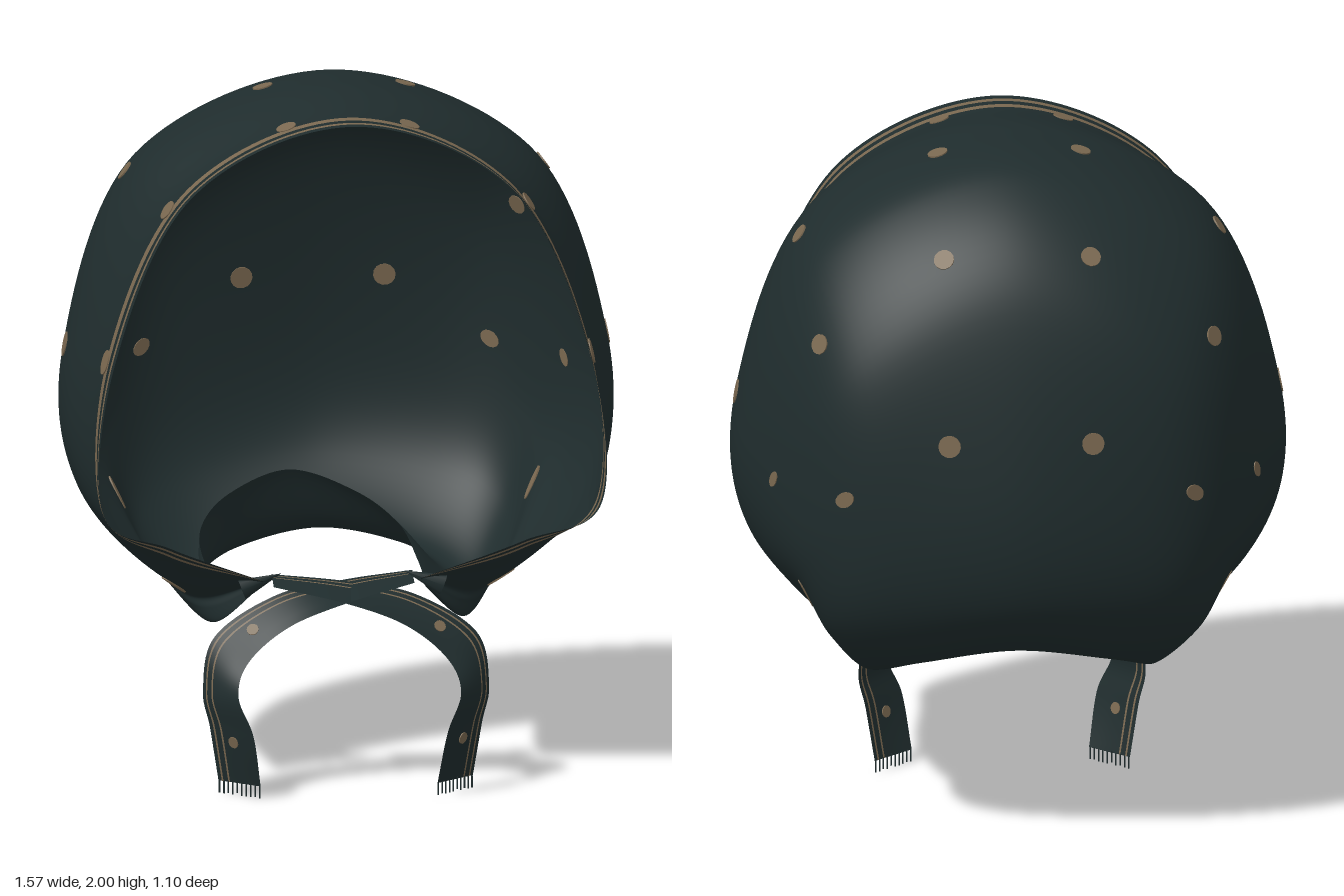
import * as THREE from 'three';

const cloth = new THREE.MeshStandardMaterial({ color: 0x1f2c2d, side: THREE.DoubleSide });
cloth.name = 'darkGreenCloth';
const trim = new THREE.MeshStandardMaterial({ color: 0x7a6850, side: THREE.DoubleSide });
trim.name = 'tanTrim';

const V = (p) => new THREE.Vector3(...p);
const spline = (pts) => new THREE.CatmullRomCurve3(pts, false, 'catmullrom', 0.5);

// Half hoops from the centre line to the tie corner, sweeping from face rim to tucked nape
const CORNER = [0.22, 0.59, 0.29];
const HOOPS = [
  [[0, 1.96, 0.54], [0.45, 1.77, 0.54], [0.67, 1.3, 0.54], [0.708, 0.86, 0.545], [0.5, 0.72, 0.41]],
  [[0, 1.965, 0.41], [0.46, 1.77, 0.41], [0.685, 1.3, 0.41], [0.705, 0.85, 0.43], [0.5, 0.68, 0.355]],
  [[0, 2.0, 0.15], [0.55, 1.785, 0.14], [0.762, 1.26, 0.16], [0.735, 0.86, 0.24], [0.51, 0.63, 0.26]],
  [[0, 1.955, -0.15], [0.54, 1.72, -0.16], [0.755, 1.2, -0.04], [0.73, 0.84, 0.08], [0.49, 0.585, 0.19]],
  [[0, 1.69, -0.41], [0.46, 1.47, -0.405], [0.665, 1.12, -0.25], [0.68, 0.82, -0.08], [0.46, 0.55, 0.13]],
  [[0, 1.15, -0.54], [0.38, 1.05, -0.485], [0.57, 0.92, -0.36], [0.6, 0.76, -0.18], [0.43, 0.52, 0.09]],
  [[0, 0.8, -0.51], [0.35, 0.75, -0.44], [0.5, 0.68, -0.32], [0.51, 0.59, -0.13], [0.39, 0.485, 0.13]],
  [[0, 0.605, -0.31], [0.25, 0.56, -0.27], [0.37, 0.5, -0.16], [0.38, 0.455, 0], [0.34, 0.455, 0.18]],
  [[0, 0.8, -0.2], [0.18, 0.74, -0.17], [0.28, 0.66, -0.1], [0.3, 0.58, 0], [0.28, 0.54, 0.18]],
];

// Grid of points to a smooth surface; isTrim(row, col) picks the material of each cell
function gridGeometry(grid, isTrim) {
  const cols = grid[0].length;
  const faces = [[], []];
  for (let r = 0; r < grid.length - 1; r++) {
    for (let c = 0; c < cols - 1; c++) {
      const a = r * cols + c, b = a + 1, d = a + cols, e = d + 1;
      faces[isTrim(r, c) ? 1 : 0].push(a, b, d, b, e, d);
    }
  }
  const g = new THREE.BufferGeometry().setFromPoints(grid.flat());
  g.setIndex([...faces[0], ...faces[1]]);
  g.addGroup(0, faces[0].length, 0);
  g.addGroup(faces[0].length, faces[1].length, 1);
  g.computeVertexNormals();
  return g;
}

function shellGeometry() {
  const hoops = HOOPS.map((half) => {
    const right = [...half, CORNER];
    const left = right.slice(1).reverse().map(([x, y, z]) => [-x, y, z]);
    return spline([...left, ...right].map(V)).getPoints(160);
  });
  // The tucked nape edge leans to one side
  hoops.at(-1).forEach((p, i) => { p.x -= 0.1 * Math.sin((Math.PI * i) / 160); });
  const ribs = hoops[0].map((_, i) => spline(hoops.map((h) => h[i])));
  // Row positions, with two trim bands close to the rim
  const rows = [0, 0.12, 0.23, 0.42, 0.53, 0.65, 0.85, 1];
  for (let i = 1; i <= 84; i++) rows.push(1 + i / 12);
  const grid = rows.map((v) => ribs.map((rib) => rib.getPoint(v / (HOOPS.length - 1))));
  return gridGeometry(grid, (r) => r === 2 || r === 5);
}

// Thin spot through the cloth, visible on both sides: the target is dropped onto
// the tangent plane of the nearest vertex
function spot(geometry, target, radius, stretch = 1) {
  const pos = geometry.attributes.position;
  const p = new THREE.Vector3();
  let best = 0, bestD = Infinity;
  for (let i = 0; i < pos.count; i++) {
    const d = p.fromBufferAttribute(pos, i).distanceToSquared(target);
    if (d < bestD) { bestD = d; best = i; }
  }
  p.fromBufferAttribute(pos, best);
  const n = new THREE.Vector3().fromBufferAttribute(geometry.attributes.normal, best).normalize();
  const mesh = new THREE.Mesh(new THREE.CylinderGeometry(radius, radius, 0.006, 14), trim);
  mesh.position.copy(target).addScaledVector(n, p.sub(target).dot(n));
  mesh.quaternion.setFromUnitVectors(new THREE.Vector3(0, 1, 0), n);
  mesh.scale.x = stretch;
  mesh.name = 'spot';
  return mesh;
}

// Spots on one half of the bonnet: position, radius, stretch
const SPOTS = [
  [0.18, 1.95, 0.42], [0.52, 1.71, 0.425], [0.69, 1.27, 0.43, 0.028, 1.3],
  [0.205, 1.98, 0.05], [0.6, 1.74, 0.05], [0.77, 1.25, 0.1, 0.027, 1.3],
  [0.21, 1.79, -0.33], [0.56, 1.53, -0.3], [0.205, 1.29, -0.52, 0.032],
  [0.485, 1.11, -0.42, 0.022, 1.4],
  [0.68, 1.1, -0.22, 0.015, 1.8], [0.62, 0.73, -0.2, 0.013, 4], [0.46, 0.56, 0.14, 0.024, 2.2],
];

// Tie: centre line and half-width vectors, crossing from one corner to the other side
const TIE_PATH = [[-0.2, 0.595, 0.29], [0, 0.57, 0.35], [0.18, 0.52, 0.365], [0.325, 0.42, 0.39],
  [0.36, 0.3, 0.42], [0.33, 0.19, 0.43], [0.305, 0.035, 0.405]];
const TIE_HALF = [[0, 0.012, -0.03], [0, 0.02, -0.06], [0.015, 0.036, -0.045], [0.045, 0.03, -0.035],
  [0.045, 0, -0.05], [0.055, 0, -0.06], [0.055, 0, -0.045]];

function buildTie(side, zShift) {
  const flip = ([x, y, z]) => new THREE.Vector3(x * side, y, z);
  const path = spline(TIE_PATH.map(flip)), half = spline(TIE_HALF.map(flip));
  const across = [-1, -0.5, 0, 0.45, 0.53, 0.76, 0.84, 1];
  const grid = [];
  for (let i = 0; i <= 60; i++) {
    const c = path.getPoint(i / 60), h = half.getPoint(i / 60);
    grid.push(across.map((s) => c.clone().addScaledVector(h, s)));
  }
  const tie = new THREE.Group();
  tie.name = side > 0 ? 'leftTie' : 'rightTie';
  const geometry = gridGeometry(grid, (r, c) => c === 3 || c === 5);
  const ribbon = new THREE.Mesh(geometry, [cloth, trim]);
  ribbon.name = 'ribbon';
  tie.add(ribbon);
  for (const t of [0.42, 0.87]) tie.add(spot(geometry, path.getPoint(t), 0.017));
  // Fringe threads on the cut end
  const end = path.getPoint(1), w = half.getPoint(1);
  for (let i = 0; i < 10; i++) {
    const thread = new THREE.Mesh(new THREE.BoxGeometry(0.004, 0.035, 0.004), cloth);
    thread.position.copy(end).addScaledVector(w, -0.95 + (1.9 * i) / 9);
    thread.position.y = 0.0175 + (i % 3) * 0.003 * (i % 2);
    thread.name = 'fringeThread';
    tie.add(thread);
  }
  tie.position.z = zShift;
  return tie;
}

export function createModel() {
  const model = new THREE.Group();
  model.name = 'bonnet';

  const geometry = shellGeometry();
  const shell = new THREE.Mesh(geometry, [cloth, trim]);
  shell.name = 'bonnetShell';
  model.add(shell);

  const spots = new THREE.Group();
  spots.name = 'spots';
  for (const side of [1, -1]) {
    for (const [x, y, z, radius = 0.029, stretch = 1] of SPOTS) {
      spots.add(spot(geometry, new THREE.Vector3(x * side, y, z), radius, stretch));
    }
    // Pointed gather where the tie meets the shell
    const gather = new THREE.Mesh(new THREE.ConeGeometry(0.03, 0.12, 8), cloth);
    gather.scale.z = 0.5;
    gather.position.set(0.23 * side, 0.59, 0.28);
    gather.rotation.z = side * 1.2;
    gather.name = 'tieGather';
    model.add(gather);
  }
  model.add(spots, buildTie(1, 0.006), buildTie(-1, -0.006));
  return model;
}
